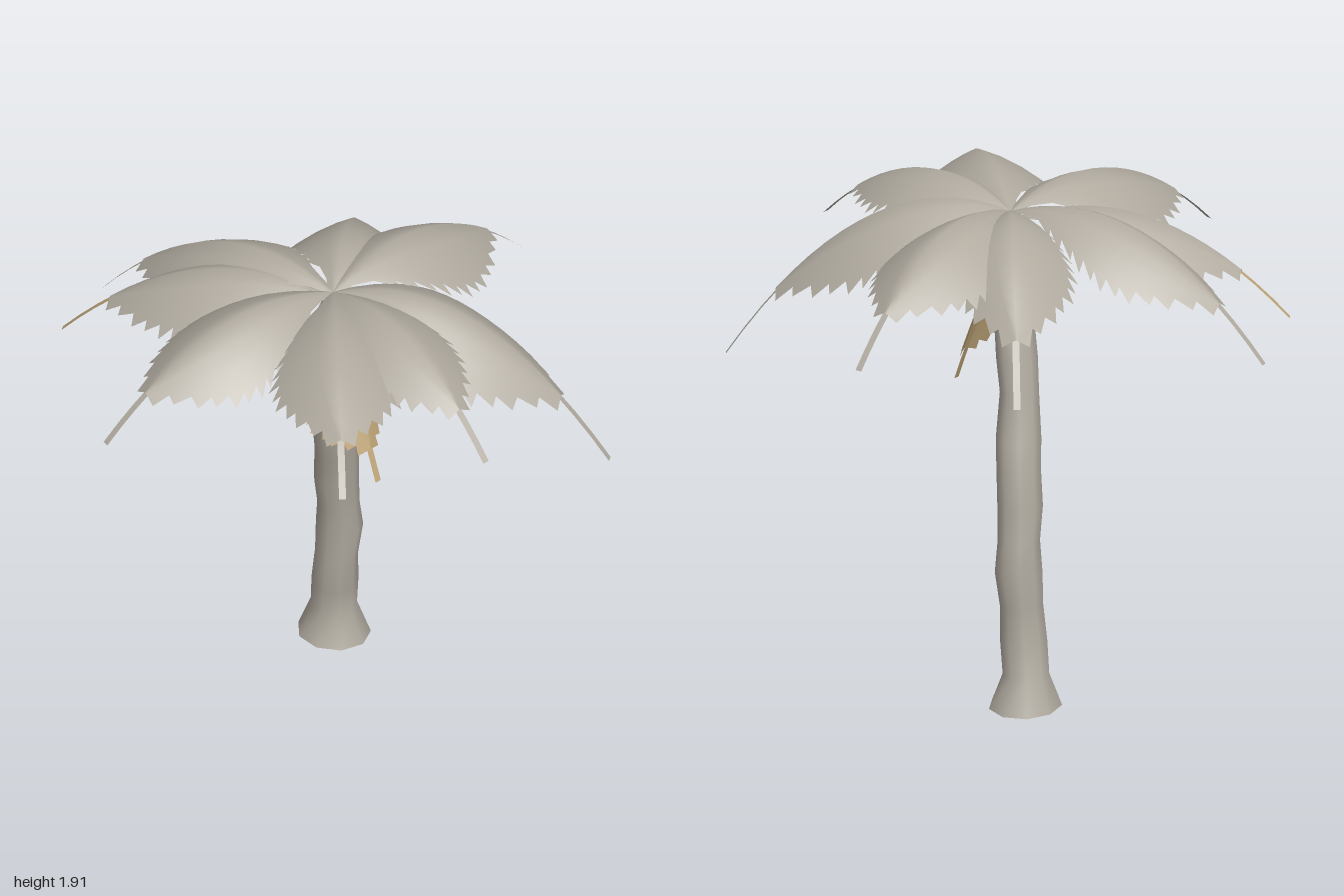
import * as THREE from 'three';

const V = (x, y, z) => new THREE.Vector3(x, y, z);

const bark = new THREE.MeshStandardMaterial({ color: 0xb0aa9f });
bark.name = 'bark grey';
const leafGrey = new THREE.MeshStandardMaterial({ color: 0xb0aa9f, side: THREE.DoubleSide });
leafGrey.name = 'leaf grey';
const leafTan = new THREE.MeshStandardMaterial({ color: 0xc0a679, side: THREE.DoubleSide });
leafTan.name = 'dry leaf tan';

function meshFrom(name, points, index, material) {
  const geo = new THREE.BufferGeometry().setFromPoints(points);
  geo.setIndex(index);
  geo.computeVertexNormals();
  const mesh = new THREE.Mesh(geo, material);
  mesh.name = name;
  return mesh;
}

// Trunk: leaning, knobbly stack of rings [y, x, z, radius]
function makeTrunk() {
  const rings = [
    [0.01, 0.237, -0.205, 0.138], [0.14, 0.238, -0.208, 0.088], [0.26, 0.222, -0.185, 0.089],
    [0.4, 0.22, -0.173, 0.082], [0.53, 0.227, -0.165, 0.09], [0.65, 0.213, -0.155, 0.08],
    [0.78, 0.195, -0.147, 0.086], [0.92, 0.182, -0.13, 0.084], [1.03, 0.157, -0.11, 0.086],
    [1.2, 0.13, -0.093, 0.074], [1.33, 0.118, -0.072, 0.079], [1.45, 0.098, -0.045, 0.076],
    [1.57, 0.07, -0.02, 0.077], [1.65, 0.045, 0.005, 0.07], [1.73, 0.01, 0.03, 0.055],
    [1.84, 0, 0.05, 0.02],
  ];
  const n = 9, points = [], index = [];
  rings.forEach(([y, x, z, r], i) => {
    for (let j = 0; j < n; j++) {
      const a = (j / n) * Math.PI * 2;
      const tilt = i === 0 ? -0.01 * Math.cos(a) : 0;
      points.push(V(x + r * Math.cos(a), y + tilt, z + r * Math.sin(a)));
    }
  });
  for (let i = 0; i < rings.length - 1; i++) {
    for (let j = 0; j < n; j++) {
      const a = i * n + j, b = i * n + (j + 1) % n;
      index.push(a, a + n, b, b, a + n, b + n);
    }
  }
  // Bottom cap with its own corners, so the rim stays sharp
  const start = points.length;
  for (let j = 0; j < n; j++) points.push(points[j].clone());
  for (let j = 1; j < n - 1; j++) index.push(start, start + j, start + j + 1);
  return meshFrom('trunk', points, index, bark);
}

// Half-width of a leaf along its rib, as [t, fraction]
const OUTLINE = [[0, 0.08], [0.08, 0.2], [0.2, 0.62], [0.3, 0.84], [0.42, 1],
  [0.52, 1], [0.62, 0.84], [0.72, 0.5], [0.82, 0.05], [1, 0.03]];

function outline(t) {
  for (let i = 1; i < OUTLINE.length; i++) {
    const [t0, w0] = OUTLINE[i - 1], [t1, w1] = OUTLINE[i];
    if (t <= t1) return w0 + (w1 - w0) * (t - t0) / (t1 - t0);
  }
  return 0.03;
}

// Frond: arched blade with toothed edges, and a thin rib running past its end
function makeFrond({ name, base, tip, rise, width, leaf, rib }) {
  const flat = V(tip.x - base.x, 0, tip.z - base.z);
  const sag = rise - (tip.y - base.y);
  const side = V(-flat.z, 0, flat.x).normalize();
  const at = (t, s, lower = 0) => {
    const p = base.clone().addScaledVector(flat, t);
    p.y += rise * t - sag * t * t;
    const tangent = flat.clone();
    tangent.y = rise - 2 * sag * t;
    const normal = side.clone().cross(tangent).normalize();
    const drop = 0.35 * Math.abs(s) + 1.1 * s * s + lower;
    return p.addScaledVector(side, s).addScaledVector(normal, -drop);
  };

  // Blade grid, swept forward towards the edges
  const rows = 14, cols = 6, end = 0.82, points = [], index = [];
  for (let i = 0; i <= rows; i++) {
    const t = (i / rows) * end, w = outline(t);
    for (let j = 0; j <= cols; j++) {
      const s = (j / cols) * 2 - 1;
      points.push(at(t + 0.05 * Math.abs(s) * w, s * w * width));
    }
  }
  const row = cols + 1;
  for (let i = 0; i < rows; i++) {
    for (let j = 0; j < cols; j++) {
      const a = i * row + j;
      index.push(a, a + 1, a + row, a + 1, a + row + 1, a + row);
    }
    // Teeth pointing outwards and forwards
    if (i < 2) continue;
    const t = ((i + 1) / rows) * end, w = outline(t);
    for (const s of [-1, 1]) {
      const k = points.length, a = i * row + (s < 0 ? 0 : cols);
      const reach = 0.032 + 0.01 * (i % 2);
      points.push(at(t + 0.05 * w + 0.012, s * (w * width + reach)));
      if (s < 0) index.push(a, a + row, k);
      else index.push(a, k, a + row);
    }
  }

  // Rib ribbon, just under the blade
  const ribPoints = [], ribIndex = [], steps = 16;
  for (let i = 0; i <= steps; i++) {
    const t = i / steps;
    ribPoints.push(at(t, -0.013, 0.003), at(t, 0.013, 0.003));
    if (i < steps) {
      const a = i * 2;
      ribIndex.push(a, a + 1, a + 2, a + 1, a + 3, a + 2);
    }
  }

  const frond = new THREE.Group();
  frond.name = name;
  frond.add(meshFrom('blade', points, index, leaf), meshFrom('rib', ribPoints, ribIndex, rib));
  return frond;
}

export function createModel() {
  const tree = new THREE.Group();
  tree.name = 'palmTree';
  tree.add(makeTrunk());

  // Crown fronds: [tip x, y, z, half-width, dry rib]
  const crown = [
    [-1, 1.555, -0.11, 0.225],
    [1, 1.525, -0.01, 0.225],
    [-0.22, 1.41, -0.98, 0.21],
    [0.69, 1.395, -0.52, 0.2],
    [0.6, 1.255, 0.93, 0.225],
    [-0.07, 1.605, 0.98, 0.175],
    [-0.63, 1.615, 0.8, 0.215],
    [-0.555, 1.465, -0.84, 0.2, true],
  ];
  crown.forEach(([x, y, z, width, dry], i) => {
    tree.add(makeFrond({
      name: `crownFrond${i + 1}`, base: V(0, dry ? 1.81 : 1.84, 0.05), tip: V(x, y, z),
      rise: 0.45, width, leaf: leafGrey, rib: dry ? leafTan : leafGrey,
    }));
  });

  // Dry frond hanging at the front
  tree.add(makeFrond({
    name: 'dryFrond', base: V(-0.01, 1.75, 0.06), tip: V(-0.01, 1.115, 0.32),
    rise: -0.55, width: 0.155, leaf: leafTan, rib: leafTan,
  }));
  return tree;
}
